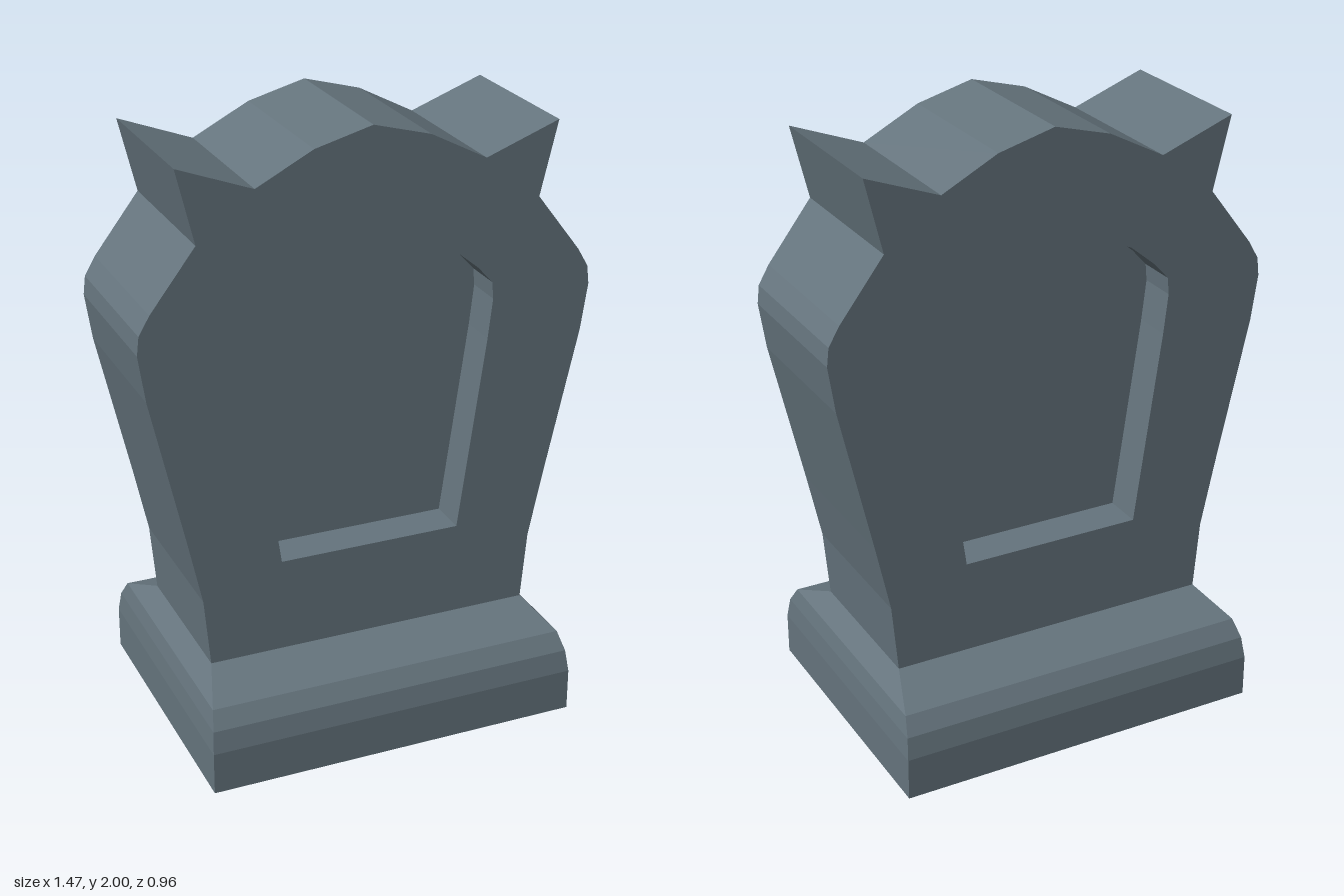
import * as THREE from 'three';

// Closed symmetric outline from its +x half, listed bottom to top
function mirrored(half) {
  const pts = half.map(([x, y]) => new THREE.Vector2(x, y));
  const left = half.filter(([x]) => x > 0).reverse().map(([x, y]) => new THREE.Vector2(-x, y));
  return pts.concat(left);
}

// Rectangular plinth lofted through [halfWidth, y, halfDepth] levels, capped at both ends
function loftBox(levels) {
  const rings = levels.map(([w, y, d]) => [[-w, y, d], [w, y, d], [w, y, -d], [-w, y, -d]]);
  const pos = [];
  const quad = (a, b, c, d) => pos.push(...a, ...b, ...c, ...a, ...c, ...d);
  for (let i = 0; i < rings.length - 1; i++) {
    for (let j = 0; j < 4; j++) {
      const k = (j + 1) % 4;
      quad(rings[i][j], rings[i][k], rings[i + 1][k], rings[i + 1][j]);
    }
  }
  quad(...[...rings[0]].reverse());
  quad(...rings[rings.length - 1]);
  const geo = new THREE.BufferGeometry();
  geo.setAttribute('position', new THREE.Float32BufferAttribute(pos, 3));
  geo.computeVertexNormals();
  return geo;
}

export function createModel() {
  const group = new THREE.Group();
  group.name = 'gravestone';
  const stone = new THREE.MeshStandardMaterial({ color: 0x65747d, flatShading: true });
  const add = (name, geo) => {
    const mesh = new THREE.Mesh(geo, stone);
    mesh.name = name;
    group.add(mesh);
    return mesh;
  };

  const slabDepth = 0.527;
  const recess = 0.13;

  // Stepped, chamfered foot
  add('base', loftBox([
    [0.615, 0, 0.478], [0.615, 0.14, 0.478], [0.608, 0.21, 0.462],
    [0.595, 0.265, 0.424], [0.54, 0.327, 0.263],
  ]));

  // Flared slab with horned shoulders and an arched crown
  const outline = mirrored([
    [0.54, 0.325], [0.56, 0.55], [0.607, 0.77], [0.715, 1.25], [0.737, 1.4], [0.73, 1.46],
    [0.695, 1.52], [0.55, 1.71], [0.607, 1.945], [0.368, 1.855], [0.185, 1.95], [0, 2],
  ]);
  const panel = mirrored([
    [0.3, 0.635], [0.39, 1.27], [0.405, 1.4], [0.4, 1.455],
    [0.35, 1.51], [0.265, 1.58], [0.163, 1.622],
  ]);
  const slab = new THREE.Shape(outline);
  slab.holes.push(new THREE.Path(panel));
  const slabGeo = new THREE.ExtrudeGeometry(slab, { depth: slabDepth, bevelEnabled: false });
  add('slab', slabGeo.translate(0, 0, -slabDepth / 2));

  // Sunken panels on the front and back
  for (const [name, side] of [['frontPanel', 1], ['backPanel', -1]]) {
    const mesh = add(name, new THREE.ShapeGeometry(new THREE.Shape(panel)));
    mesh.position.z = side * (slabDepth / 2 - recess);
    if (side < 0) mesh.rotation.y = Math.PI;
  }
  return group;
}
